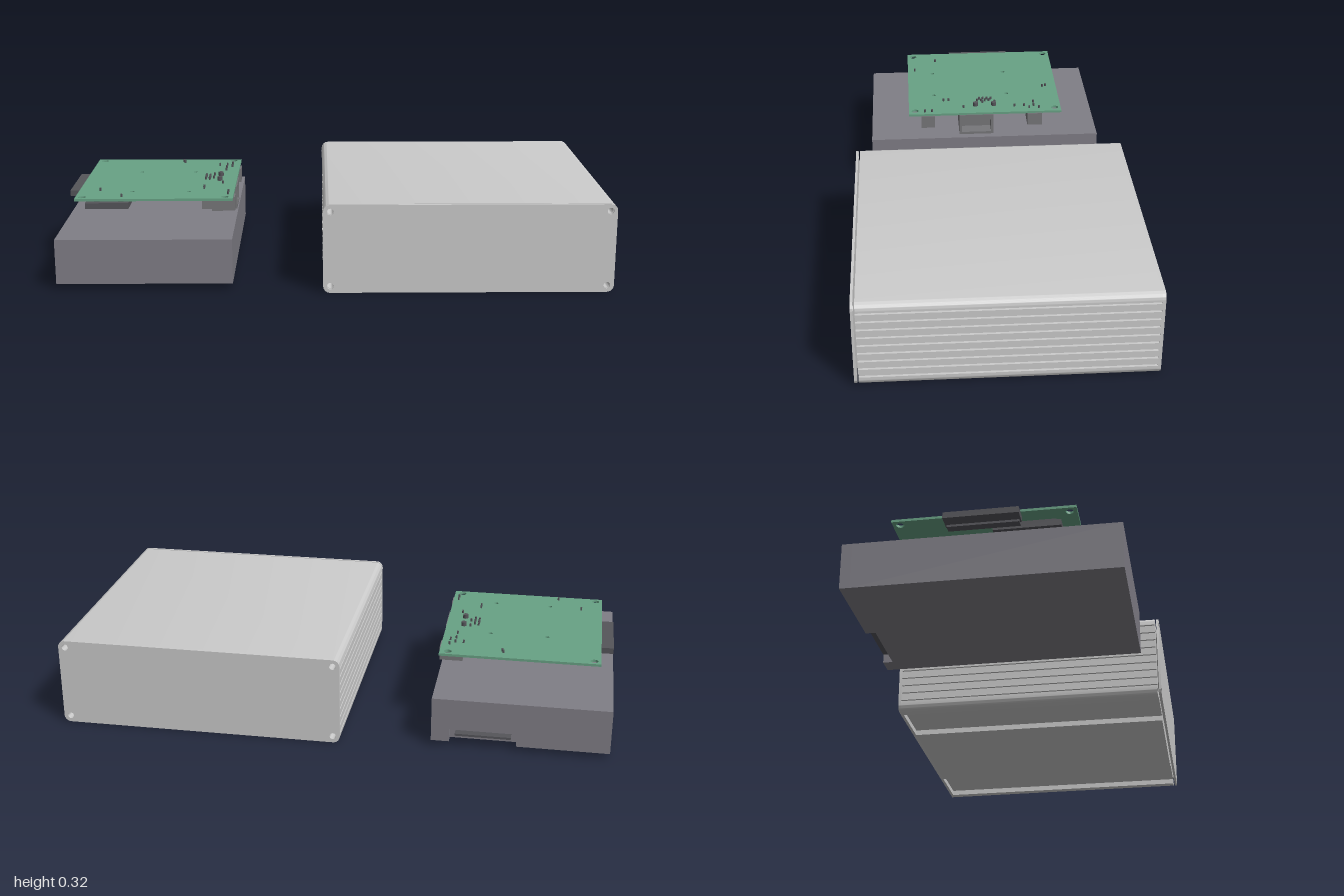
import * as THREE from 'three';
import { toCreasedNormals } from 'three/addons/utils/BufferGeometryUtils.js';

const mat = (color) => new THREE.MeshStandardMaterial({ color });
const grey = mat(0xcccccc), darkGrey = mat(0x807e86), green = mat(0x68a285);
const black = mat(0x55555a), metal = mat(0x77777a);

function add(parent, name, geometry, material) {
  const mesh = new THREE.Mesh(geometry, material);
  mesh.name = name;
  parent.add(mesh);
  return mesh;
}

// Box given by its limits on each axis
function box(parent, name, [x0, x1], [y0, y1], [z0, z1], material) {
  const mesh = add(parent, name, new THREE.BoxGeometry(x1 - x0, y1 - y0, z1 - z0), material);
  mesh.position.set((x0 + x1) / 2, (y0 + y1) / 2, (z0 + z1) / 2);
  return mesh;
}

function circleHole(shape, x, y, r) {
  shape.holes.push(new THREE.Path().absarc(x, y, r, 0, Math.PI * 2, true));
}

// Shape in the xy plane, extruded from z0 to z1
function extrude(shape, z0, z1) {
  const g = new THREE.ExtrudeGeometry(shape, { depth: z1 - z0, bevelEnabled: false, curveSegments: 10 });
  g.translate(0, 0, z0);
  return toCreasedNormals(g, 0.6);
}

const X0 = -0.04, X1 = 1, Y1 = 0.325, R = 0.025;

function cornerHoles(shape) {
  for (const x of [X0 + 0.025, X1 - 0.025])
    for (const y of [0.025, Y1 - 0.025]) circleHole(shape, x, y, 0.012);
}

// Rounded case outline, optionally with side grooves and two bottom channels
function caseOutline(detailed) {
  const s = new THREE.Shape();
  const grooves = Array.from({ length: 9 }, (_, i) => 0.038 + i * 0.0315);
  const h = 0.004, d = 0.009, floor = 0.02;
  s.moveTo(X0 + R, 0);
  if (detailed)
    for (const [a, b] of [[0.01, 0.22], [0.74, 0.95]]) {
      s.lineTo(a, 0); s.lineTo(a, floor); s.lineTo(b, floor); s.lineTo(b, 0);
    }
  s.lineTo(X1 - R, 0);
  s.absarc(X1 - R, R, R, -Math.PI / 2, 0, false);
  if (detailed)
    for (const y of grooves) {
      s.lineTo(X1, y - h); s.lineTo(X1 - d, y - h); s.lineTo(X1 - d, y + h); s.lineTo(X1, y + h);
    }
  s.absarc(X1 - R, Y1 - R, R, 0, Math.PI / 2, false);
  s.absarc(X0 + R, Y1 - R, R, Math.PI / 2, Math.PI, false);
  if (detailed)
    for (const y of grooves.reverse()) {
      s.lineTo(X0, y + h); s.lineTo(X0 + d, y + h); s.lineTo(X0 + d, y - h); s.lineTo(X0, y - h);
    }
  s.absarc(X0 + R, R, R, Math.PI, Math.PI * 1.5, false);
  cornerHoles(s);
  return s;
}

function buildEnclosure() {
  const g = new THREE.Group();
  g.name = 'enclosure';
  const body = caseOutline(true);
  body.holes.push(new THREE.Path([[0.02, 0.045], [0.02, 0.3], [0.94, 0.3], [0.94, 0.045]]
    .map(([x, y]) => new THREE.Vector2(x, y))));
  add(g, 'enclosureBody', extrude(body, -0.5, 0.496), grey);
  add(g, 'frontPlate', extrude(caseOutline(false), 0.502, 0.511), grey);
  add(g, 'backPlate', extrude(caseOutline(false), -0.511, -0.5), grey);
  return g;
}

function buildDrive() {
  const g = new THREE.Group();
  g.name = 'drive';
  const x0 = -1, x1 = -0.365, y0 = 0.02, y1 = 0.185;
  box(g, 'driveBody', [x0, x1], [y0, y1], [-0.435, 0.46], darkGrey);
  // Rear slice with the connector notch in its lower edge
  const rear = new THREE.Shape([[x0, y0], [-0.67, y0], [-0.67, 0.07], [-0.43, 0.07], [-0.43, y0],
    [x1, y0], [x1, y1], [x0, y1]].map(([x, y]) => new THREE.Vector2(x, y)));
  add(g, 'driveRear', extrude(rear, -0.47, -0.435), darkGrey);
  box(g, 'driveConnectorTongue', [-0.65, -0.45], [0.042, 0.05], [-0.465, -0.435], black);
  return g;
}

function buildBoard() {
  const g = new THREE.Group();
  g.name = 'circuitBoard';
  // Board drawn in x and -z, then laid flat
  const s = new THREE.Shape([[-0.95, -0.305], [-0.37, -0.305], [-0.37, 0.32], [-0.95, 0.32]]
    .map(([x, y]) => new THREE.Vector2(x, y)));
  for (const x of [-0.925, -0.4]) for (const z of [-0.295, 0.28]) circleHole(s, x, -z, 0.014);
  for (const x of [-0.75, -0.54]) for (const z of [-0.105, 0.2]) circleHole(s, x, -z, 0.008);
  add(g, 'boardPlate', extrude(s, 0.286, 0.295).rotateX(-Math.PI / 2), green);

  // Edge connector on the left side
  box(g, 'edgeConnector', [-0.995, -0.93], [0.258, 0.28], [-0.135, 0.12], black);
  box(g, 'edgeConnectorBase', [-0.95, -0.92], [0.25, 0.287], [-0.13, 0.115], black);

  // Network port: open-fronted housing
  box(g, 'networkPortRear', [-0.5, -0.42], [0.2, 0.287], [-0.04, 0.1], metal);
  box(g, 'networkPortFloor', [-0.42, -0.366], [0.2, 0.21], [-0.04, 0.1], metal);
  box(g, 'networkPortRoof', [-0.42, -0.366], [0.265, 0.287], [-0.04, 0.1], metal);
  for (const z of [-0.04, 0.09])
    box(g, 'networkPortWall', [-0.42, -0.366], [0.21, 0.265], [z, z + 0.01], metal);

  // Smaller ports on the same edge
  for (const [z0, z1] of [[-0.24, -0.18], [0.2, 0.255]])
    box(g, 'smallPort', [-0.45, -0.365], [0.235, 0.287], [z0, z1], metal);

  // Socket and chips on the underside
  box(g, 'undersideSocket', [-0.92, -0.76], [0.242, 0.264], [0.02, 0.25], black);
  for (const x of [-0.88, -0.79])
    box(g, 'socketSupport', [x - 0.01, x + 0.01], [0.264, 0.287], [0.04, 0.23], black);
  for (const [x, z, w] of [[-0.65, 0.04, 0.1], [-0.62, -0.17, 0.06], [-0.78, -0.2, 0.07], [-0.6, 0.22, 0.04]])
    box(g, 'chip', [x - w / 2, x + w / 2], [0.275, 0.287], [z - w / 2, z + w / 2], black);

  // Solder pins showing above the board
  const pins = [[-0.6, -0.275], [-0.595, -0.262], [-0.45, -0.21], [-0.42, -0.21], [-0.42, -0.17], [-0.42, -0.13],
    [-0.87, 0.185], [-0.78, 0.275], [-0.485, 0.14], [-0.485, 0.16], [-0.39, 0.21], [-0.39, 0.24], [-0.42, 0.08],
    [-0.46, -0.05], [-0.46, 0], [-0.4, -0.23], [-0.4, -0.19]];
  for (let i = 0; i < 8; i++) pins.push([-0.49 + (i % 2) * 0.015, -0.035 + i * 0.008]);
  for (const [x, z] of pins)
    add(g, 'solderPin', new THREE.CylinderGeometry(0.004, 0.004, 0.02, 6), black).position.set(x, 0.296, z);
  for (const z of [-0.045, 0.03])
    add(g, 'portPeg', new THREE.CylinderGeometry(0.01, 0.01, 0.03, 12), black).position.set(-0.435, 0.295, z);
  return g;
}

export function createModel() {
  const model = new THREE.Group();
  model.name = 'driveEnclosureKit';
  model.add(buildEnclosure(), buildDrive(), buildBoard());
  return model;
}
